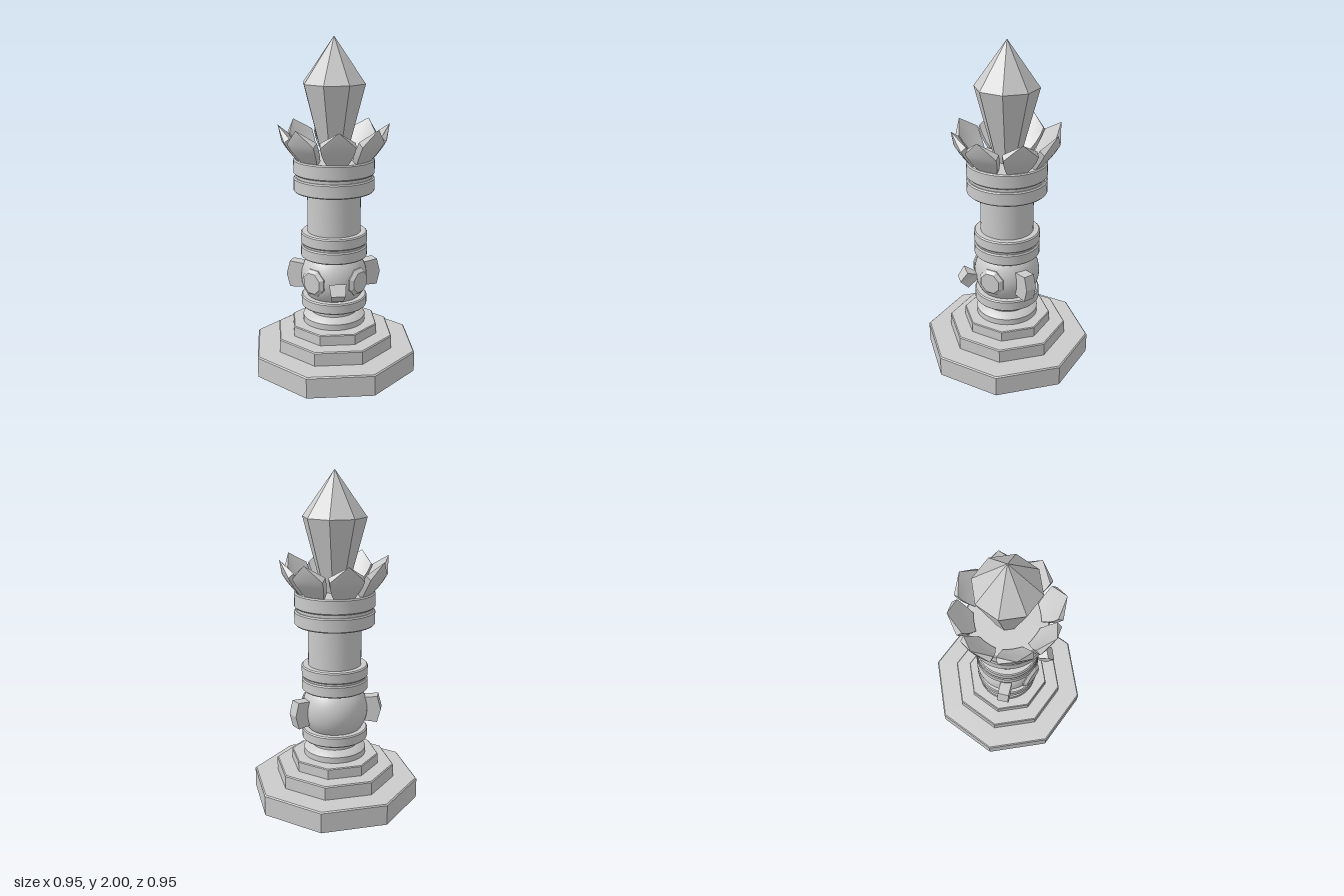
import * as THREE from 'three';
import { toCreasedNormals } from 'three/addons/utils/BufferGeometryUtils.js';

const material = new THREE.MeshStandardMaterial({ color: 0xcccccc, side: THREE.DoubleSide });

function addMesh(parent, name, geometry, crease = 0.6) {
  const mesh = new THREE.Mesh(toCreasedNormals(geometry, crease), material);
  mesh.name = name;
  parent.add(mesh);
  return mesh;
}

// Turned part from [radius, y] pairs
function turned(points, sides = 48, start = 0) {
  return new THREE.LatheGeometry(points.map(([r, y]) => new THREE.Vector2(r, y)), sides, start);
}

// Eight-sided part with flats facing the axes; radii are measured to the flats
function octagonal(points) {
  return turned(points.map(([r, y]) => [r / Math.cos(Math.PI / 8), y]), 8, Math.PI / 8);
}

// Round band with small bevels
function band(r, y0, y1, inner, b = 0.007) {
  return turned([[inner, y0], [r - b, y0], [r, y0 + b], [r, y1 - b], [r - b, y1], [inner, y1]]);
}

// Cupped, pointed petal: a box reshaped by rows of [y, half width, radius, thickness]
function petalGeometry() {
  const rows = [
    [1.29, 0.055, 0.218, 0.03], [1.33, 0.077, 0.252, 0.03], [1.37, 0.092, 0.283, 0.03],
    [1.41, 0.1, 0.308, 0.03], [1.5, 0, 0.327, 0],
  ];
  const geo = new THREE.BoxGeometry(1, 1, 1, 6, rows.length - 1, 1);
  const pos = geo.attributes.position;
  for (let i = 0; i < pos.count; i++) {
    const [y, w, r, t] = rows[Math.round((pos.getY(i) + 0.5) * (rows.length - 1))];
    const x = pos.getX(i) * 2 * w;
    const inside = pos.getZ(i) < 0 ? t : 0;
    pos.setXYZ(i, x, y + inside * 0.8, r - inside - 1.5 * x * x);
  }
  return geo;
}

// Snout: a side profile given width that grows towards the upper front
function snoutGeometry() {
  const profile = [[0.17, 0.53], [0.2, 0.535], [0.255, 0.495], [0.305, 0.545], [0.262, 0.605], [0.2, 0.575], [0.17, 0.575]];
  const shape = new THREE.Shape(profile.map(([z, y]) => new THREE.Vector2(z, y)));
  const geo = new THREE.ExtrudeGeometry(shape, { depth: 2, bevelEnabled: false });
  const pos = geo.attributes.position;
  for (let i = 0; i < pos.count; i++) {
    const z = pos.getX(i), y = pos.getY(i), side = pos.getZ(i) - 1;
    const w = z < 0.21 ? 0.025 : 0.035 + (y - 0.495) * 0.14;
    pos.setXYZ(i, -side * w, y, z);
  }
  return geo;
}

export function createModel() {
  const model = new THREE.Group();
  model.name = 'crystalPillar';

  // Hollow stepped base
  addMesh(model, 'steppedBase', octagonal([
    [0.475, 0], [0.475, 0.123], [0.468, 0.13],
    [0.34, 0.13], [0.34, 0.209], [0.334, 0.215],
    [0.25, 0.215], [0.25, 0.275], [0.245, 0.28], [0.15, 0.28],
  ]));

  // Foot and neck of the column
  addMesh(model, 'columnFoot', turned([
    [0.15, 0.28], [0.19, 0.282], [0.19, 0.318], [0.183, 0.326], [0.14, 0.345], [0.14, 0.39],
  ]));

  // Bands
  addMesh(model, 'lowerBand', band(0.2, 0.385, 0.452, 0.13));
  addMesh(model, 'middleBandLower', band(0.2, 0.7, 0.772, 0.1));
  addMesh(model, 'middleGroove', band(0.188, 0.765, 0.79, 0.1, 0.001));
  addMesh(model, 'middleBandUpper', band(0.2, 0.785, 0.855, 0.1));

  // Round body
  const body = addMesh(model, 'roundBody', new THREE.SphereGeometry(0.2, 48, 24, 0, Math.PI * 2, 0.7, Math.PI - 1.4));
  body.position.y = 0.57;

  // Shaft and collar
  addMesh(model, 'shaft', turned([[0.16, 0.85], [0.16, 1.11]]));
  addMesh(model, 'collarLower', band(0.24, 1.105, 1.19, 0.1));
  addMesh(model, 'collarGroove', band(0.226, 1.185, 1.215, 0.1, 0.001));
  addMesh(model, 'collarUpper', band(0.24, 1.21, 1.3, 0));

  // Petal crown
  const petals = new THREE.Group();
  petals.name = 'petalCrown';
  model.add(petals);
  for (let i = 0; i < 8; i++) {
    addMesh(petals, 'petal', petalGeometry(), 0.5).rotation.y = i * Math.PI / 4;
  }

  // Crystal
  addMesh(model, 'crystal', octagonal([[0, 1.3], [0.068, 1.3], [0.175, 1.735], [0, 2]]), 0.1);

  // Snout
  addMesh(model, 'snout', snoutGeometry(), 0.1);

  // Eyes and ears, mirrored
  const earOutline = [[0, -0.075], [0.09, -0.083], [0.112, 0], [0.09, 0.083], [0, 0.075]];
  for (const side of [1, -1]) {
    const eye = new THREE.Group();
    eye.name = side > 0 ? 'leftEye' : 'rightEye';
    eye.position.y = 0.57;
    eye.rotation.y = side * Math.PI / 4;
    model.add(eye);
    const gem = turned([[0.086, -0.05], [0.086, 0], [0.066, 0.02], [0, 0.02]], 8, Math.PI / 8);
    gem.rotateX(Math.PI / 2).translate(0, 0, 0.188);
    addMesh(eye, 'eyeGem', gem, 0.1);

    const ear = new THREE.Shape(earOutline.map(([x, y]) => new THREE.Vector2(x, y)));
    const earGeo = new THREE.ExtrudeGeometry(ear, { depth: 0.07, bevelEnabled: false });
    earGeo.translate(0, 0, -0.07).rotateY(0.38);
    if (side < 0) earGeo.translate(0, 0, 0.07 * Math.cos(0.38)).rotateY(Math.PI - 0.76 + 0.76);
    const earMesh = addMesh(model, side > 0 ? 'leftEar' : 'rightEar', earGeo, 0.1);
    earMesh.position.set(side * 0.185, 0.57, 0);
    if (side < 0) {
      // Rebuild as the mirror image, swept backwards
      const mirrored = new THREE.ExtrudeGeometry(
        new THREE.Shape(earOutline.map(([x, y]) => new THREE.Vector2(-x, y))), { depth: 0.07, bevelEnabled: false });
      mirrored.translate(0, 0, -0.07).rotateY(-0.38);
      earMesh.geometry = toCreasedNormals(mirrored, 0.1);
    }
  }
  return model;
}
